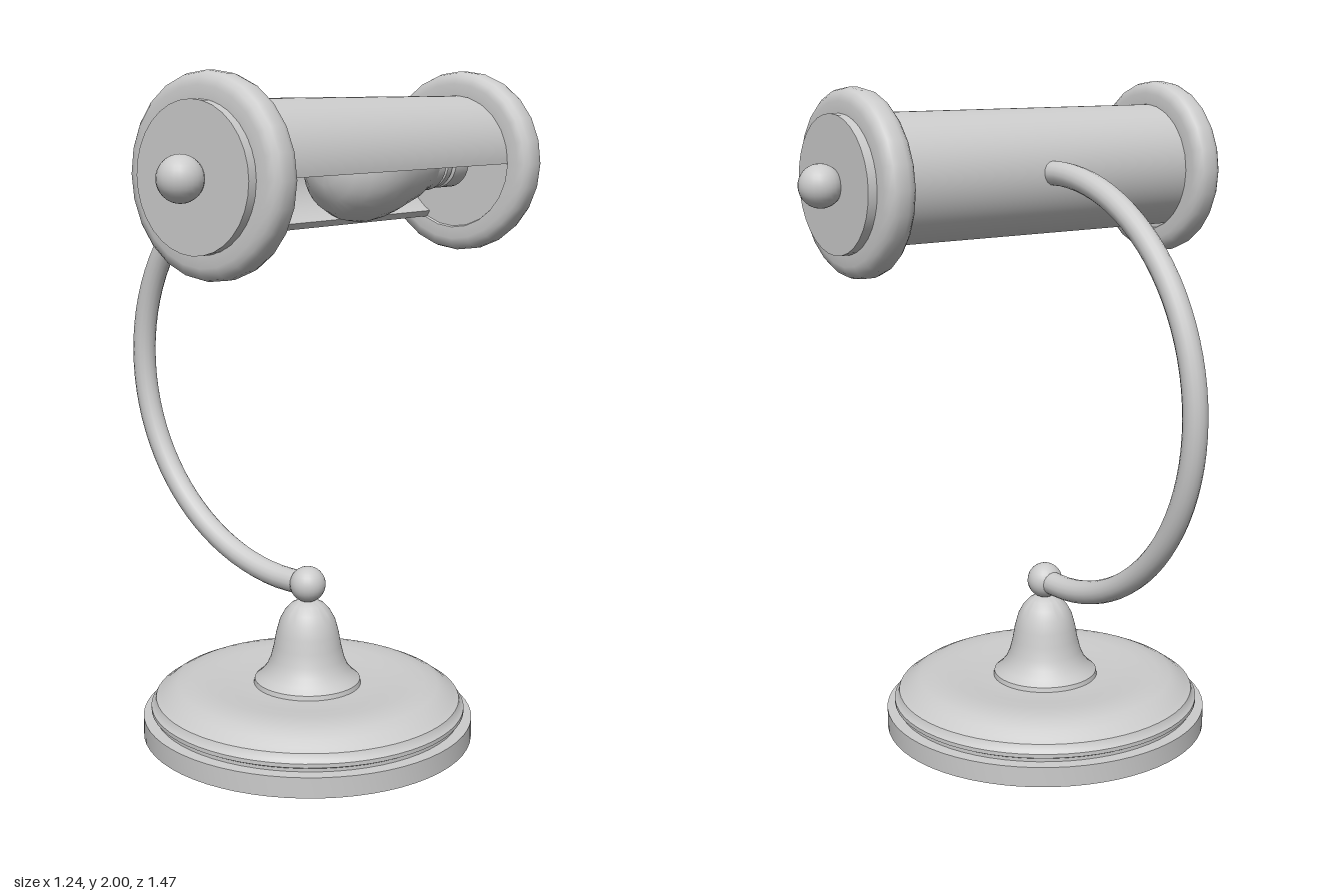
import * as THREE from 'three';
import { toCreasedNormals } from 'three/addons/utils/BufferGeometryUtils.js';

const material = new THREE.MeshStandardMaterial({ color: 0xcccccc });
const BASE_X = 0.115;
const SHADE_X = 0.258, SHADE_Y = 1.728;

function part(name, geometry, parent) {
  const mesh = new THREE.Mesh(geometry, material);
  mesh.name = name;
  parent.add(mesh);
  return mesh;
}

// Turned part: profile points are [radius, height], from bottom to top
function turned(profile, segments = 48) {
  const points = profile.map(([r, y]) => new THREE.Vector2(r, y));
  return toCreasedNormals(new THREE.LatheGeometry(points, segments), 0.65);
}

export function createModel() {
  const model = new THREE.Group();
  model.name = 'deskLamp';

  // Stepped round foot with a slightly dished top
  part('base', turned([
    [0, 0], [0.505, 0], [0.505, 0.062], [0.47, 0.064], [0.47, 0.074], [0.481, 0.08],
    [0.481, 0.092], [0.472, 0.1], [0.466, 0.117], [0.45, 0.127], [0.43, 0.143],
    [0.4, 0.157], [0.36, 0.164], [0.31, 0.164], [0.25, 0.158], [0.19, 0.154], [0, 0.154],
  ], 64), model).position.x = BASE_X;

  // Bell-shaped stem
  part('stem', turned([
    [0.165, 0.153], [0.162, 0.168], [0.142, 0.185], [0.125, 0.207], [0.113, 0.235],
    [0.103, 0.275], [0.096, 0.315], [0.085, 0.355], [0.07, 0.383], [0.05, 0.405],
    [0.03, 0.415], [0, 0.417],
  ]), model).position.x = BASE_X;

  part('stemBall', new THREE.SphereGeometry(0.055, 24, 16), model).position.set(BASE_X, 0.467, 0);

  // Curved arm: a half circle bulging towards -x, running into the ball and the shade
  const arc = [];
  for (let i = 0; i <= 24; i++) {
    const a = THREE.MathUtils.lerp(1.49, 1.5 * Math.PI + 0.05, i / 24);
    arc.push(new THREE.Vector3(0.055 + 0.64 * Math.cos(a), 1.105 + 0.64 * Math.sin(a), 0));
  }
  part('arm', new THREE.TubeGeometry(new THREE.CatmullRomCurve3(arc), 48, 0.036, 16), model);

  // Lamp head, lying along z
  const head = new THREE.Group();
  head.name = 'lampHead';
  head.position.set(SHADE_X, SHADE_Y, 0);
  model.add(head);

  // Shade: two thirds of a thin tube, open below on the +x side
  const section = new THREE.Shape();
  section.absarc(0, 0, 0.199, 0, Math.PI * 4 / 3, false);
  section.absarc(0, 0, 0.178, Math.PI * 4 / 3, 0, true);
  section.closePath();
  const shade = new THREE.ExtrudeGeometry(section, { depth: 1.05, bevelEnabled: false, curveSegments: 32 });
  shade.translate(0, 0, -0.525);
  part('shade', toCreasedNormals(shade, 0.6), head);

  // Mirrored ends: rounded ring, cap disc and knob
  for (const side of [1, -1]) {
    const end = new THREE.Group();
    end.name = side > 0 ? 'frontEnd' : 'backEnd';
    end.rotation.y = side > 0 ? 0 : Math.PI;
    head.add(end);

    part('ring', turned([
      [0.195, 0.525], [0.2, 0.512], [0.235, 0.511], [0.255, 0.516], [0.267, 0.528], [0.272, 0.545],
      [0.272, 0.572], [0.267, 0.588], [0.255, 0.6], [0.235, 0.606], [0.2, 0.606], [0.195, 0.595],
    ], 24).rotateX(Math.PI / 2), end);
    part('cap', turned([[0, 0.52], [0.2, 0.52], [0.2, 0.634], [0, 0.634]], 32)
      .rotateX(Math.PI / 2), end);
    part('knob', new THREE.SphereGeometry(0.063, 24, 16), end).position.z = 0.673;
  }

  // Light bulb with a ribbed socket, fixed to the back end
  part('bulb', turned([
    [0.08, -0.335], [0.09, -0.305], [0.107, -0.265], [0.122, -0.21], [0.138, -0.155],
    [0.15, -0.1], [0.155, -0.05], [0.148, 0], [0.127, 0.045], [0.09, 0.08], [0.045, 0.097], [0, 0.101],
  ], 32).rotateX(Math.PI / 2), head);
  part('socket', turned([
    [0.045, -0.53], [0.045, -0.51], [0.075, -0.49], [0.075, -0.425], [0.066, -0.42], [0.066, -0.412],
    [0.075, -0.407], [0.075, -0.385], [0.066, -0.38], [0.066, -0.372], [0.08, -0.367], [0.08, -0.333], [0, -0.333],
  ], 32).rotateX(Math.PI / 2), head);

  return model;
}
